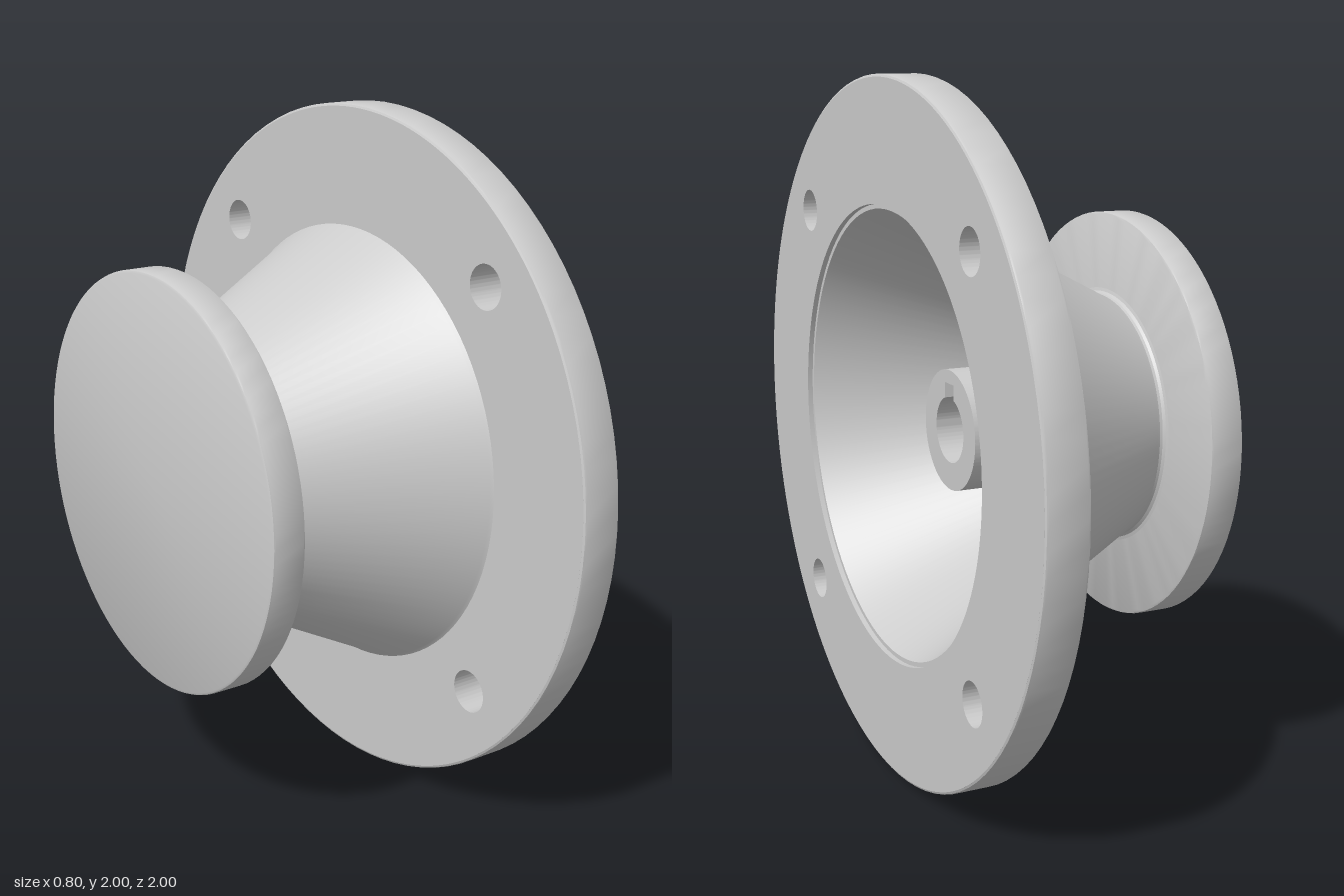
import * as THREE from 'three';
import { toCreasedNormals } from 'three/addons/utils/BufferGeometryUtils.js';

const SEGMENTS = 96;
const material = new THREE.MeshStandardMaterial({ color: 0xcccccc });

function part(name, geometry) {
  const mesh = new THREE.Mesh(toCreasedNormals(geometry, 0.5), material);
  mesh.name = name;
  return mesh;
}

// Revolve [axial position, radius] points around the x axis
function revolve(name, profile) {
  const points = profile.map(([x, r]) => new THREE.Vector2(r, x));
  return part(name, new THREE.LatheGeometry(points, SEGMENTS).rotateZ(-Math.PI / 2));
}

// Extrude a y-z outline along x between two positions
function extrudeAlongX(name, shape, x0, x1) {
  const geometry = new THREE.ExtrudeGeometry(shape, {
    depth: x1 - x0, bevelEnabled: false, curveSegments: SEGMENTS,
  });
  return part(name, geometry.rotateY(Math.PI / 2).translate(x0, 0, 0));
}

const disc = (r) => new THREE.Shape().absarc(0, 0, r, 0, Math.PI * 2, false);
const hole = (x, y, r) => new THREE.Path().absarc(x, y, r, 0, Math.PI * 2, true);

export function createModel() {
  const model = new THREE.Group();
  model.name = 'flangedHousing';
  const body = new THREE.Group();
  body.name = 'body';
  body.position.y = 1;
  model.add(body);

  // Closed end plate with softened edges
  body.add(revolve('endPlate', [
    [-0.4, 0], [-0.4, 0.592], [-0.397, 0.598], [-0.392, 0.6],
    [-0.308, 0.6], [-0.303, 0.598], [-0.3, 0.592], [-0.3, 0],
  ]));

  // Hollow cone: filleted outside, recessed lip, straight inside wall, floor
  body.add(revolve('cone', [
    [-0.3, 0.378], [-0.297, 0.369], [-0.29, 0.363], [-0.282, 0.362], [-0.272, 0.366],
    [0.272, 0.647], [0.281, 0.656], [0.281, 0.65], [0.385, 0.65], [0.385, 0.637],
    [-0.295, 0.283], [-0.295, 0],
  ]));

  // Mounting flange with four bolt holes
  const flange = disc(0.992);
  flange.holes.push(hole(0, 0, 0.65));
  for (const x of [-0.585, 0.585]) {
    for (const y of [-0.585, 0.585]) flange.holes.push(hole(x, y, 0.062));
  }
  body.add(extrudeAlongX('flange', flange, 0.28, 0.4));

  // Rounded outer edge of the flange
  body.add(revolve('flangeRim', [
    [0.28, 0.992], [0.283, 0.998], [0.288, 1],
    [0.392, 1], [0.397, 0.998], [0.4, 0.992],
  ]));

  // Shaft hub with a keyed bore
  const bore = 0.095, keyHalf = 0.03, keyTop = 0.135;
  const angle = Math.acos(keyHalf / bore);
  const keyedBore = new THREE.Path();
  keyedBore.moveTo(keyHalf, keyTop);
  keyedBore.lineTo(keyHalf, bore * Math.sin(angle));
  keyedBore.absarc(0, 0, bore, angle, Math.PI - angle, true);
  keyedBore.lineTo(-keyHalf, keyTop);
  keyedBore.closePath();
  const hub = disc(0.175);
  hub.holes.push(keyedBore);
  body.add(extrudeAlongX('hub', hub, -0.3, 0.2));

  return model;
}
